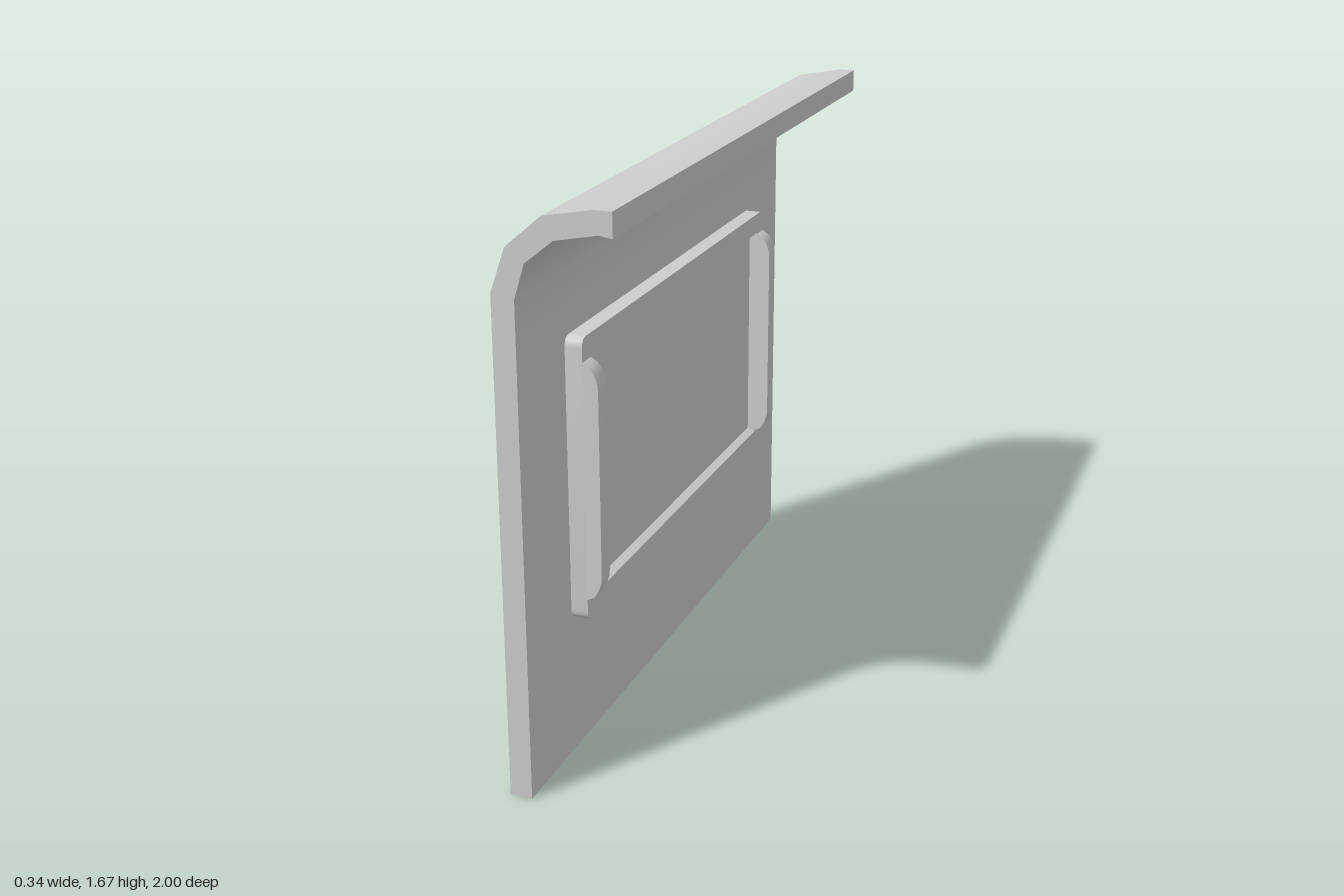
import * as THREE from 'three';
import { toCreasedNormals } from 'three/addons/utils/BufferGeometryUtils.js';

const material = new THREE.MeshStandardMaterial({ color: 0xcccccc });
const MID_Y = 0.825; // centre height of the window

function extrude(shape, depth) {
  const geo = new THREE.ExtrudeGeometry(shape, { depth, bevelEnabled: false, curveSegments: 5 });
  return toCreasedNormals(geo, 0.65);
}

// Outline in the x-y plane, swept along z from z0 to z1
function sweepZ(points, z0, z1) {
  const shape = new THREE.Shape(points.map(([x, y]) => new THREE.Vector2(x, y)));
  return extrude(shape, z1 - z0).translate(0, 0, z0);
}

// Outline in the z-y plane, given thickness along x from x0 to x1
function slabX(shape, x0, x1) {
  return extrude(shape, x1 - x0).rotateY(Math.PI / 2).translate(x0, 0, 0);
}

// Rectangle with optional rounded corners
function rect(target, halfW, y0, y1, r = 0) {
  target.moveTo(-halfW + r, y0);
  target.lineTo(halfW - r, y0);
  if (r) target.quadraticCurveTo(halfW, y0, halfW, y0 + r);
  target.lineTo(halfW, y1 - r);
  if (r) target.quadraticCurveTo(halfW, y1, halfW - r, y1);
  target.lineTo(-halfW + r, y1);
  if (r) target.quadraticCurveTo(-halfW, y1, -halfW, y1 - r);
  target.lineTo(-halfW, y0 + r);
  if (r) target.quadraticCurveTo(-halfW, y0, -halfW + r, y0);
  return target;
}

export function createModel() {
  const model = new THREE.Group();
  const add = (name, geometry) => {
    const mesh = new THREE.Mesh(geometry, material);
    mesh.name = name;
    model.add(mesh);
  };

  // Flat panel with the window cut out
  const panel = rect(new THREE.Shape(), 1, 0, 1.3);
  panel.holes.push(rect(new THREE.Path(), 0.69, 0.45, 1.2));
  add('panel', slabX(panel, -0.165, -0.1));

  // Upper panel curving over into the lip
  add('curvedLip', sweepZ([
    [-0.1, 1.3], [-0.1, 1.42], [-0.07, 1.515], [0.01, 1.58], [0.13, 1.605], [0.167, 1.6],
    [0.167, 1.667], [0.12, 1.667], [-0.02, 1.64], [-0.122, 1.552], [-0.165, 1.43], [-0.165, 1.3],
  ], -1, 1));

  // Window frame
  const frame = rect(new THREE.Shape(), 0.72, 0.412, 1.238, 0.03);
  frame.holes.push(rect(new THREE.Path(), 0.665, 0.475, 1.175));
  add('windowFrame', slabX(frame, -0.172, -0.05));

  // Thin pane set back in the frame
  add('pane', new THREE.BoxGeometry(0.01, 0.7, 1.33).translate(-0.08, MID_Y, 0));

  // Raised cheeks with rounded ends, and sloped trims above and below the pane
  const half = [[-0.052, 0.347], [-0.03, 0.335], [-0.016, 0.314], [-0.008, 0.29], [-0.006, 0.27]];
  const cheek = [
    ...half.map(([x, y]) => [x, MID_Y - y]),
    ...half.map(([x, y]) => [x, MID_Y + y]).reverse(),
  ];
  for (const [side, s] of [['front', 1], ['back', -1]]) {
    add(side + 'Cheek', sweepZ(cheek, s > 0 ? 0.665 : -0.72, s > 0 ? 0.72 : -0.665));
  }
  for (const [name, s] of [['upperTrim', 1], ['lowerTrim', -1]]) {
    add(name, sweepZ([
      [-0.05, MID_Y + s * 0.35], [-0.08, MID_Y + s * 0.35], [-0.08, MID_Y + s * 0.338],
    ], -0.665, 0.665));
  }
  return model;
}
